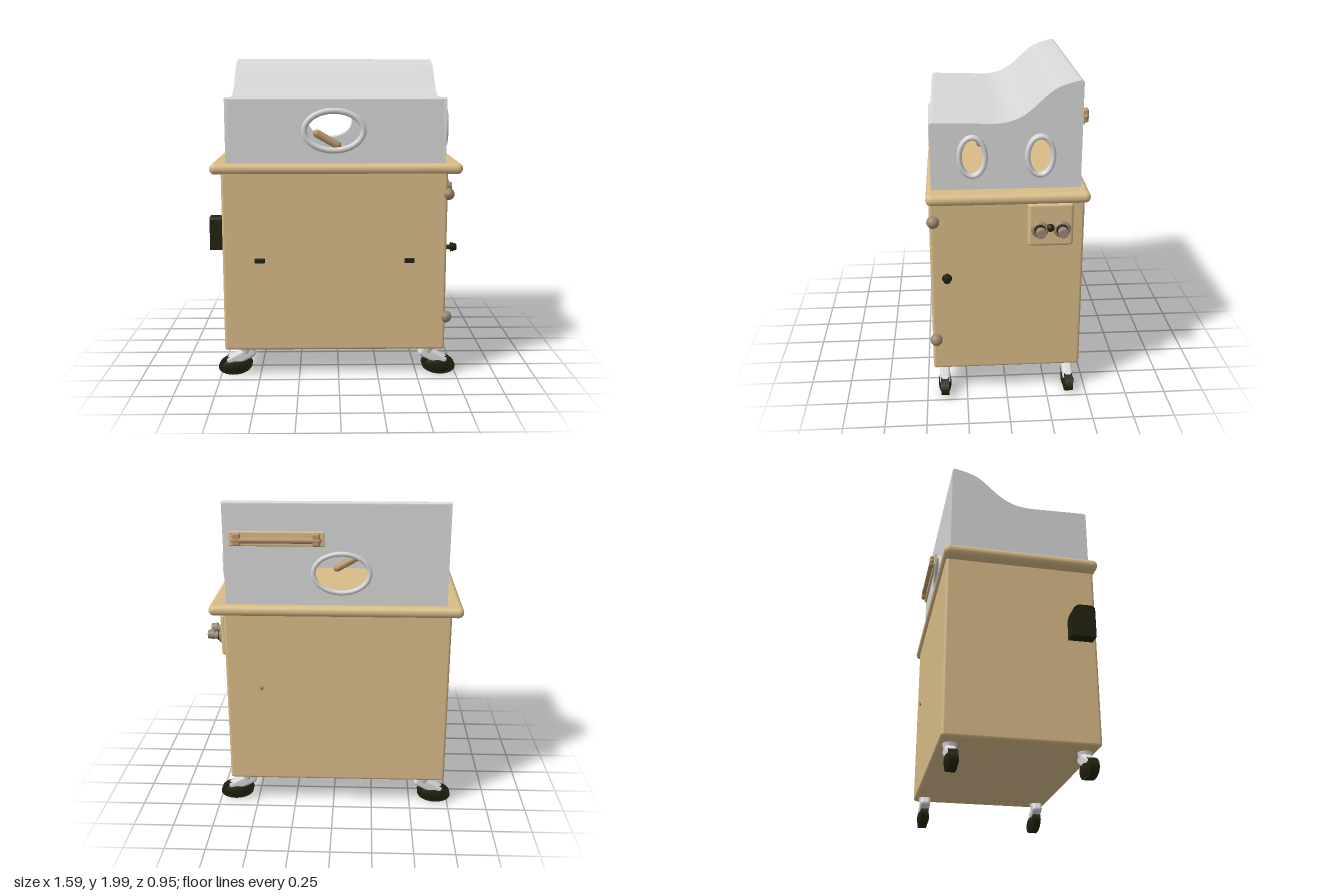
import * as THREE from 'three';
import { toCreasedNormals } from 'three/addons/utils/BufferGeometryUtils.js';
import { RoundedBoxGeometry } from 'three/addons/geometries/RoundedBoxGeometry.js';

export function createModel() {
  const model = new THREE.Group();
  const mat = (name, color) => Object.assign(new THREE.MeshStandardMaterial({ color }), { name });
  const tan = mat('tan', 0xd8bb88);
  const grey = mat('light grey', 0xd6d6d6);
  const black = mat('black', 0x22220f);
  const taupe = mat('taupe', 0x9a8672);
  const brown = mat('brown', 0xb8966c);

  const add = (name, geo, material, x = 0, y = 0, z = 0, parent = model) => {
    const mesh = new THREE.Mesh(geo, material);
    mesh.name = name;
    mesh.position.set(x, y, z);
    parent.add(mesh);
    return mesh;
  };
  const rbox = (w, h, d, r) => new RoundedBoxGeometry(w, h, d, 3, r);

  // Cabinet and its overhanging rim
  add('cabinet', rbox(1.39, 1.15, 0.915, 0.018), tan, -0.025, 0.76, 0);
  add('rim', rbox(1.55, 0.068, 0.95, 0.033), tan, -0.015, 1.338, -0.003);

  // Hood: side profile runs along s = -z
  const T = 0.018, X0 = -0.69, X1 = 0.655, ZF = 0.44, ZB = -0.43, Y0 = 1.365;
  const topLine = new THREE.Path();
  topLine.moveTo(-ZF, 1.755);
  topLine.quadraticCurveTo(-ZF, 1.77, -ZF + 0.02, 1.77);
  topLine.lineTo(-0.08, 1.76);
  topLine.bezierCurveTo(0.1, 1.76, 0.15, 1.86, 0.25, 1.94);
  topLine.bezierCurveTo(0.29, 1.97, 0.34, 1.985, 0.41, 2.0);
  topLine.quadraticCurveTo(-ZB, 2.0, -ZB, 1.985);
  const top = topLine.getPoints(12);
  const ovalHole = (cx, cy, rx, ry) => {
    const p = new THREE.Path();
    p.absellipse(cx, cy, rx, ry, 0, Math.PI * 2, true);
    return p;
  };
  const extrude = (shape, depth) => toCreasedNormals(
    new THREE.ExtrudeGeometry(shape, { depth, bevelEnabled: false, curveSegments: 40 }), 0.6);
  const sideShape = () => new THREE.Shape(
    [new THREE.Vector2(-ZF, Y0), ...top, new THREE.Vector2(-ZB, Y0)].reverse());

  const hood = new THREE.Group();
  hood.name = 'hood';
  model.add(hood);
  const portZ = [0.2, -0.19];
  const rightShape = sideShape();
  portZ.forEach(z => rightShape.holes.push(ovalHole(-z, 1.572, 0.068, 0.108)));
  add('hoodPortSide', extrude(rightShape, T).rotateY(Math.PI / 2), grey, X1 - T, 0, 0, hood);
  add('hoodPlainSide', extrude(sideShape(), T).rotateY(Math.PI / 2), grey, X0, 0, 0, hood);

  // Curved roof sheet
  const under = top.map(p => new THREE.Vector2(
    THREE.MathUtils.clamp(p.x, -ZF + 0.002, -ZB - 0.002), p.y - T)).reverse();
  add('hoodRoof', extrude(new THREE.Shape([...top, ...under].reverse()), X1 - X0 - 2 * T)
    .rotateY(Math.PI / 2), grey, X0 + T, 0, 0, hood);

  // Front and back panels with an oval port
  const panel = (name, topY, z, cx, rx, ry) => {
    const s = new THREE.Shape();
    s.moveTo(X0 + T, Y0);
    s.lineTo(X1 - T, Y0);
    s.lineTo(X1 - T, topY);
    s.lineTo(X0 + T, topY);
    s.closePath();
    s.holes.push(ovalHole(cx, 1.57, rx, ry));
    add(name, extrude(s, T), grey, 0, 0, z, hood);
  };
  panel('hoodFront', 1.755, ZF - T, -0.03, 0.165, 0.115);
  panel('hoodBack', 1.985, ZB, -0.05, 0.16, 0.115);

  // Oval port rings
  const ring = (rx, ry, r) => {
    const pts = Array.from({ length: 24 }, (_, i) => {
      const a = i / 24 * Math.PI * 2;
      return new THREE.Vector3(rx * Math.cos(a), ry * Math.sin(a), 0);
    });
    return new THREE.TubeGeometry(new THREE.CatmullRomCurve3(pts, true), 60, r, 10, true);
  };
  add('frontPortRing', ring(0.18, 0.12, 0.019), grey, -0.03, 1.57, ZF, hood);
  add('backPortRing', ring(0.17, 0.12, 0.015), grey, -0.05, 1.57, ZB, hood);
  portZ.forEach(z => {
    add('sidePortRing', ring(0.074, 0.114, 0.016).scale(1, 1, 1.5).rotateY(Math.PI / 2),
      grey, X1 + 0.012, 1.572, z, hood);
  });

  // Small bolster inside the hood
  const bolster = add('bolster', new THREE.CapsuleGeometry(0.026, 0.15, 6, 12), brown, -0.07, 1.49, 0.13);
  bolster.rotation.z = 1.05;

  // Rail on the back of the hood
  add('railPlate', rbox(0.57, 0.09, 0.018, 0.008), tan, 0.335, 1.78, -0.437);
  add('railBar', new THREE.CapsuleGeometry(0.019, 0.5, 6, 12).rotateZ(Math.PI / 2), brown, 0.335, 1.775, -0.456);
  [0.1, 0.57].forEach(x => add('railEnd', rbox(0.05, 0.08, 0.03, 0.012), brown, x, 1.78, -0.458));

  // Control panel with two knobs
  add('controlPanel', rbox(0.07, 0.27, 0.27, 0.02), tan, 0.668, 1.155, -0.255);
  const disc = (r0, r1, len) => new THREE.CylinderGeometry(r0, r1, len, 20).rotateZ(-Math.PI / 2);
  [-0.19, -0.32].forEach(z => {
    add('knobCollar', disc(0.042, 0.055, 0.02), taupe, 0.71, 1.13, z);
    add('knobBase', disc(0.032, 0.036, 0.012), black, 0.724, 1.13, z);
    add('knobStem', disc(0.022, 0.026, 0.04), taupe, 0.745, 1.13, z);
    add('knob', disc(0.027, 0.031, 0.04), taupe, 0.774, 1.135, z);
  });
  add('indicator', new THREE.SphereGeometry(0.024, 14, 10), black, 0.705, 1.14, -0.252);

  // Door hardware: knob, hinges, slots, back stud
  add('doorKnobStem', disc(0.014, 0.014, 0.05), black, 0.69, 0.83, 0.36);
  add('doorKnob', disc(0.02, 0.03, 0.036), black, 0.725, 0.83, 0.36);
  [1.18, 0.395].forEach(y => add('hinge', new THREE.SphereGeometry(0.038, 18, 12), taupe, 0.675, y, 0.435));
  [-0.49, 0.44].forEach(x => add('slot', rbox(0.064, 0.032, 0.016, 0.006), black, x, 0.766, 0.456));
  add('backStud', new THREE.SphereGeometry(0.014, 12, 8), taupe, 0.45, 0.83, -0.455);

  // Side box with sloping upper corner
  const boxShape = new THREE.Shape();
  boxShape.moveTo(-0.43, 0.83);
  boxShape.lineTo(-0.28, 0.83);
  boxShape.lineTo(-0.28, 0.95);
  boxShape.quadraticCurveTo(-0.29, 1.03, -0.34, 1.035);
  boxShape.lineTo(-0.41, 1.035);
  boxShape.lineTo(-0.43, 1.02);
  boxShape.closePath();
  add('sideBox', extrude(boxShape, 0.085).rotateY(Math.PI / 2), black, -0.798, 0, 0);

  // Casters: swivel, slanted fork and tilted oval wheel
  [-1, 1].forEach(sx => [0.39, -0.39].forEach(z => {
    const caster = new THREE.Group();
    caster.name = 'caster';
    caster.position.set(sx * 0.58 - 0.01, 0, z);
    caster.rotation.y = sx < 0 ? Math.PI : 0;
    model.add(caster);
    add('swivel', new THREE.CylinderGeometry(0.045, 0.035, 0.05, 16), grey, 0, 0.172, 0, caster);
    const fork = add('fork', rbox(0.19, 0.075, 0.066, 0.02), grey, 0.035, 0.123, 0, caster);
    fork.rotation.z = -0.5;
    const wheel = add('wheel', new THREE.CylinderGeometry(1, 1, 0.05, 28).rotateX(Math.PI / 2)
      .scale(0.108, 0.062, 1), black, 0.07, 0.068, 0, caster);
    wheel.rotation.z = -0.12;
    const tread = add('tread', new THREE.SphereGeometry(1, 24, 14).scale(0.105, 0.06, 0.04), black, 0.07, 0.066, 0, caster);
    tread.rotation.z = -0.12;
  }));
  return model;
}
